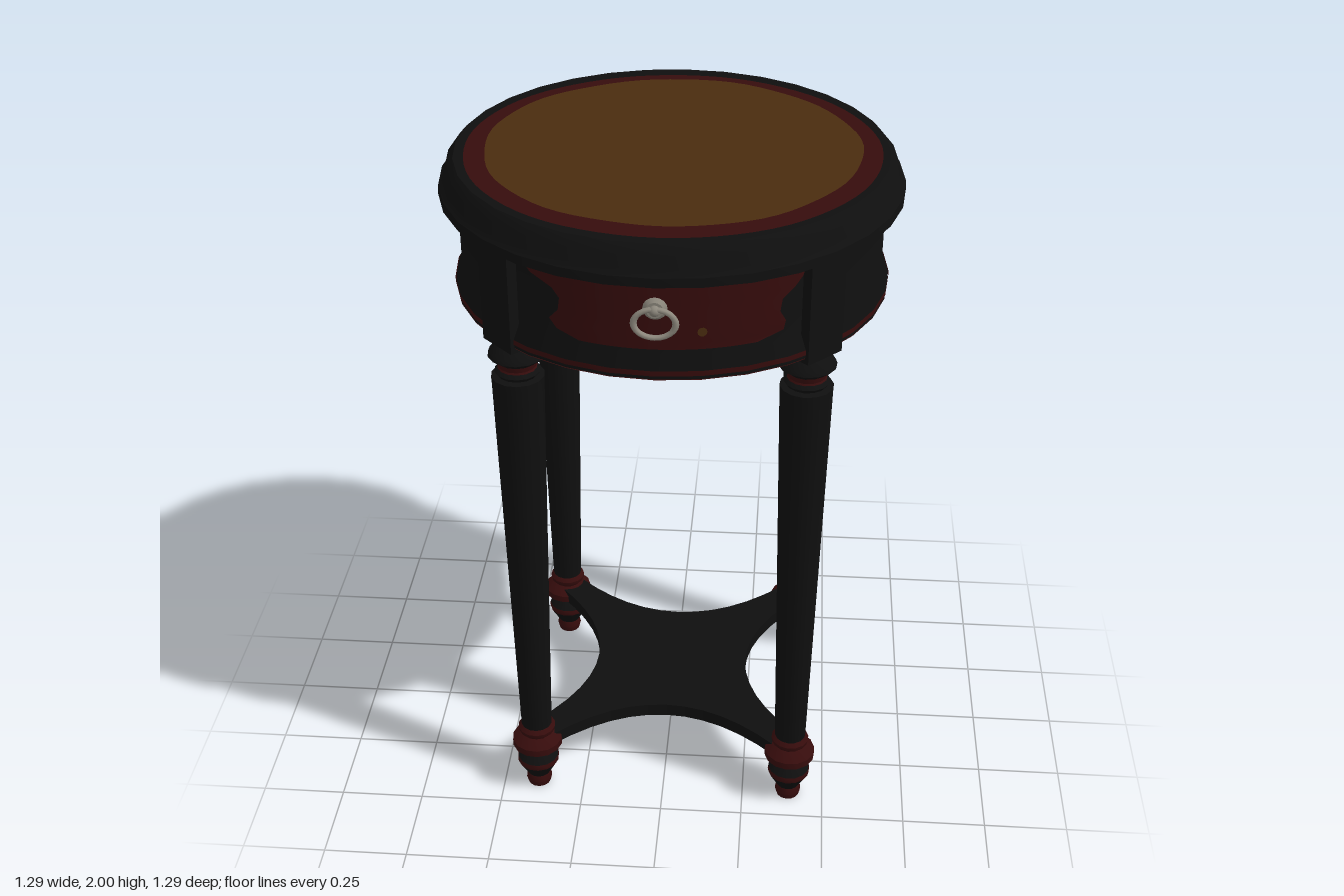
import * as THREE from 'three';
import { toCreasedNormals } from 'three/addons/utils/BufferGeometryUtils.js';

const paint = (name, color, side = THREE.FrontSide) => {
  const m = new THREE.MeshStandardMaterial({ color, side });
  m.name = name;
  return m;
};

export function createModel() {
  const black = paint('black lacquer', 0x0f0f0f);
  const red = paint('worn red', 0x360c0c, THREE.DoubleSide);
  const gold = paint('brown leather', 0x4a2c0f);
  const silver = paint('aged silver', 0x8c877c);

  const model = new THREE.Group();
  model.name = 'sideTable';

  const add = (parent, name, geometry, material, x = 0, y = 0, z = 0) => {
    const mesh = new THREE.Mesh(geometry, material);
    mesh.name = name;
    mesh.position.set(x, y, z);
    parent.add(mesh);
    return mesh;
  };
  // Turned part from [radius, height] pairs, listed from bottom to top
  const turned = (profile, sides) => toCreasedNormals(
    new THREE.LatheGeometry(profile.map(([r, y]) => new THREE.Vector2(r, y)), sides), 0.6);

  // Round top with a moulded edge
  add(model, 'tableTop', turned([
    [0, 1.89], [0.645, 1.89], [0.643, 1.915], [0.63, 1.93], [0.622, 1.965], [0.6, 1.99], [0, 1.99],
  ], 32), black);

  // Inlaid top: uneven red border around a leather field
  const inlay = (name, rx, rz, wobble, y, cz, material) => {
    const points = [];
    for (let i = 0; i < 72; i++) {
      const a = (i / 72) * Math.PI * 2;
      const k = 1 + wobble * (Math.sin(5 * a + 1) + 0.6 * Math.sin(11 * a));
      points.push(new THREE.Vector2(rx * k * Math.cos(a), rz * k * Math.sin(a)));
    }
    const geometry = new THREE.ShapeGeometry(new THREE.Shape(points)).rotateX(-Math.PI / 2);
    add(model, name, geometry, material, 0.003, y, cz);
  };
  inlay('topBorder', 0.573, 0.558, 0.002, 1.994, 0.017, red);
  inlay('topLeather', 0.518, 0.506, 0.006, 2.0, 0.015, gold);

  // Apron drum with a flared foot moulding
  add(model, 'apron', turned([
    [0, 1.615], [0.59, 1.615], [0.59, 1.61], [0.612, 1.61], [0.612, 1.635], [0.593, 1.675], [0.593, 1.89],
  ], 32), black);
  add(model, 'apronRedBand', turned([[0.614, 1.62], [0.614, 1.635]], 32), red);
  add(model, 'apronRedRim', new THREE.RingGeometry(0.585, 0.612, 32).rotateX(Math.PI / 2), red, 0, 1.608, 0);

  // Worn streak on the underside
  const streak = add(model, 'undersideStreak', new THREE.BoxGeometry(0.5, 0.004, 0.025), red, -0.28, 1.614, -0.07);
  streak.rotation.y = -0.26;

  // Worn red drawer front: rows of [height, left edge, right edge] bent round the drum
  const rows = [
    [1.888, -0.36, 0.38], [1.85, -0.33, 0.37], [1.825, -0.27, 0.35], [1.8, -0.25, 0.32],
    [1.765, -0.255, 0.315], [1.735, -0.28, 0.33], [1.71, -0.26, 0.325], [1.69, -0.2, 0.26],
  ];
  const columns = 24;
  const drawer = new THREE.PlaneGeometry(1, 1, columns, rows.length - 1);
  const p = drawer.attributes.position;
  for (let i = 0; i < p.count; i++) {
    const [y, x0, x1] = rows[Math.floor(i / (columns + 1))];
    const x = x0 + (x1 - x0) * (i % (columns + 1)) / columns;
    p.setXYZ(i, x, y, Math.sqrt(0.597 ** 2 - x * x));
  }
  drawer.computeVertexNormals();
  add(model, 'drawerFront', drawer, red);
  add(model, 'wornSpot', new THREE.CircleGeometry(0.013, 10), gold, 0.12, 1.742, 0.59).rotation.y = 0.2;

  // Ring pull
  const handle = new THREE.Group();
  handle.name = 'drawerPull';
  model.add(handle);
  add(handle, 'rosette', new THREE.CylinderGeometry(0.022, 0.034, 0.014, 16).rotateX(Math.PI / 2), silver, 0, 1.808, 0.601);
  add(handle, 'knob', new THREE.SphereGeometry(0.015, 12, 8), silver, 0, 1.808, 0.61);
  add(handle, 'ring', new THREE.TorusGeometry(0.054, 0.009, 8, 24), silver, 0, 1.773, 0.612).scale.y = 0.75;

  // Four turned legs, each under a square post facing outwards
  const blackSections = [
    [[0.045, 1.525], [0.055, 1.53], [0.08, 1.55], [0.075, 1.562], [0.055, 1.585], [0.055, 1.6]],
    [[0.047, 0.24], [0.073, 1.465], [0.074, 1.485], [0.055, 1.488], [0.064, 1.5], [0.055, 1.51]],
    [[0.035, 0.04], [0.063, 0.09]],
    [[0.063, 0.11], [0.04, 0.14], [0.04, 0.155], [0.07, 0.155]],
  ];
  const redSections = [
    [[0.055, 1.51], [0.052, 1.515], [0.055, 1.53]],
    [[0.07, 0.155], [0.077, 0.16], [0.077, 0.182], [0.058, 0.197], [0.046, 0.205],
      [0.055, 0.215], [0.057, 0.228], [0.047, 0.24]],
    [[0.063, 0.09], [0.065, 0.1], [0.063, 0.11]],
    [[0, 0], [0.035, 0], [0.04, 0.02], [0.035, 0.04]],
  ];
  for (let i = 0; i < 4; i++) {
    const angle = Math.PI / 4 + i * Math.PI / 2;
    const leg = new THREE.Group();
    leg.name = 'leg';
    leg.position.set(0.555 * Math.sin(angle), 0, 0.555 * Math.cos(angle));
    leg.rotation.y = angle;
    model.add(leg);
    add(leg, 'legPost', new THREE.BoxGeometry(0.125, 0.3, 0.125), black, 0, 1.742, 0);
    for (const s of blackSections) add(leg, 'legTurning', turned(s, 14), black);
    for (const s of redSections) add(leg, 'legRing', turned(s, 14), red);
  }

  // Shelf with four concave sides running into the legs
  const shelf = new THREE.Shape();
  const tip = 0.41, neck = 0.35, bow = 0.07;
  const corner = (a, x, y) => [x * Math.cos(a) - y * Math.sin(a), x * Math.sin(a) + y * Math.cos(a)];
  shelf.moveTo(...corner(0, tip, -neck));
  for (let i = 0; i < 4; i++) {
    const a = i * Math.PI / 2;
    shelf.quadraticCurveTo(...corner(a, bow, 0), ...corner(a, tip, neck));
    shelf.lineTo(...corner(a, neck, tip));
  }
  const board = new THREE.ExtrudeGeometry(shelf, { depth: 0.042, bevelEnabled: false, curveSegments: 12 });
  add(model, 'shelf', board.rotateX(-Math.PI / 2), black, 0, 0.157, 0);

  return model;
}
